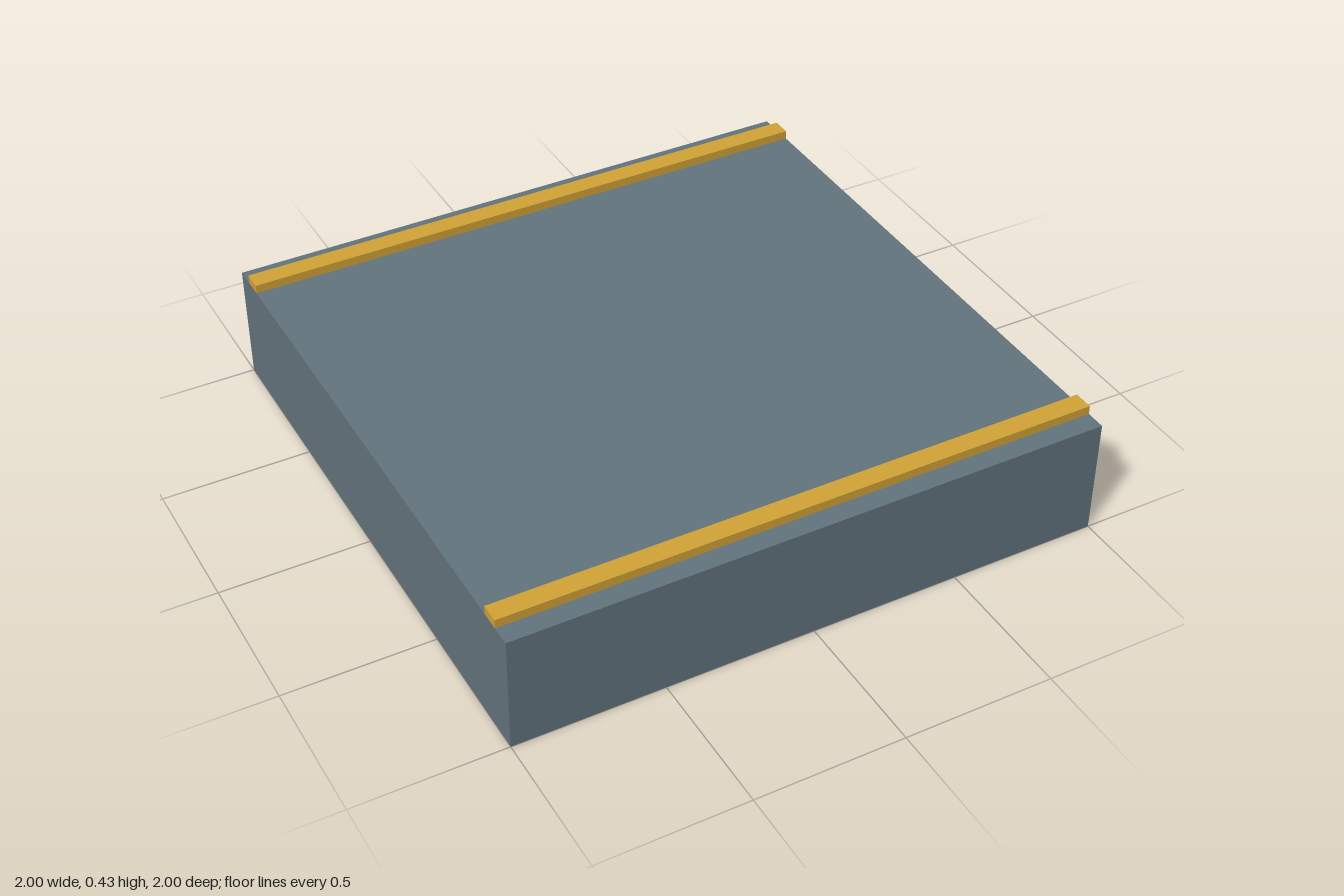
import * as THREE from 'three';

export function createModel() {
  const model = new THREE.Group();
  const slate = new THREE.MeshStandardMaterial({ color: 0x64757f });
  const yellow = new THREE.MeshStandardMaterial({ color: 0xd4a537 });

  const addBox = (name, size, position, material) => {
    const mesh = new THREE.Mesh(new THREE.BoxGeometry(...size), material);
    mesh.name = name;
    mesh.position.set(...position);
    model.add(mesh);
  };

  // Square platform slab
  addBox('platform', [2, 0.4, 2], [0, 0.2, 0], slate);

  // Raised edge strips along the front and back
  for (const [name, z] of [['frontEdgeStrip', 0.9], ['backEdgeStrip', -0.9]]) {
    addBox(name, [2, 0.03, 0.066], [0, 0.415, z], yellow);
  }

  return model;
}
